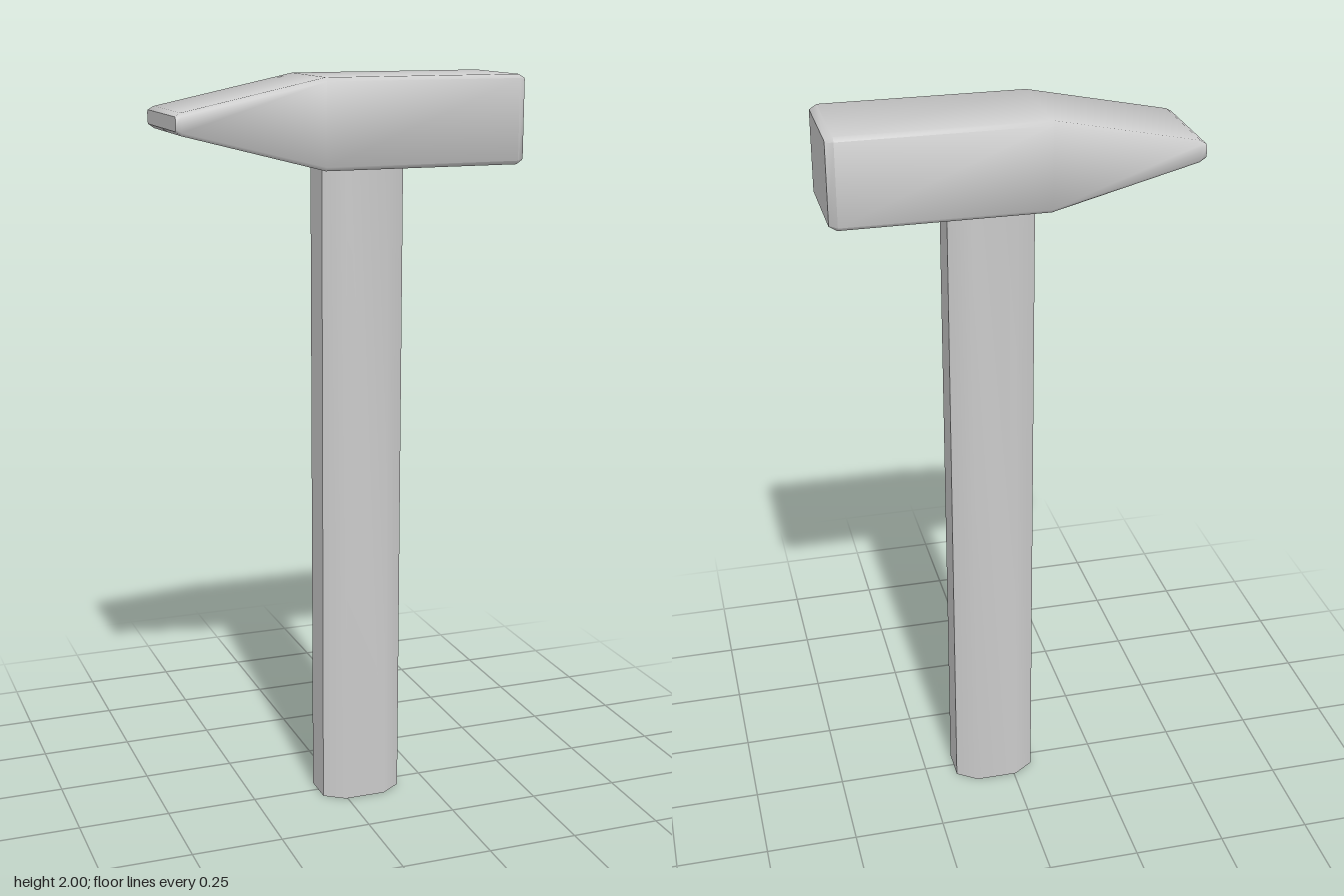
import * as THREE from 'three';
import { toCreasedNormals } from 'three/addons/utils/BufferGeometryUtils.js';

const material = new THREE.MeshStandardMaterial({ color: 0xcccccc });

// Chamfered rectangle across the x axis, counter-clockwise seen from +x
function section([x, low, high, w, c]) {
  return [
    [high, -w + c], [high, w - c], [high - c, w], [low + c, w],
    [low, w - c], [low, -w + c], [low + c, -w], [high - c, -w],
  ].map(([y, z]) => [x, y, z]);
}

// Skin a row of sections running towards +x and cap both ends
function loft(sections) {
  const rings = sections.map(section);
  const n = rings[0].length;
  const index = [];
  for (let i = 0; i < rings.length - 1; i++) {
    for (let j = 0; j < n; j++) {
      const a = i * n + j, b = i * n + (j + 1) % n;
      index.push(a, b, a + n, b, b + n, a + n);
    }
  }
  const last = (rings.length - 1) * n;
  for (let j = 1; j < n - 1; j++) {
    index.push(0, j + 1, j);
    index.push(last, last + j, last + j + 1);
  }
  const geometry = new THREE.BufferGeometry();
  geometry.setAttribute('position', new THREE.Float32BufferAttribute(rings.flat(2), 3));
  geometry.setIndex(index);
  return geometry;
}

function addPart(group, name, geometry, creaseDegrees) {
  const mesh = new THREE.Mesh(
    toCreasedNormals(geometry, THREE.MathUtils.degToRad(creaseDegrees)), material);
  mesh.name = name;
  group.add(mesh);
}

export function createModel() {
  const group = new THREE.Group();
  group.name = 'hammer';

  // Head: wedge-shaped peen at -x, square striking face at +x
  // each row: x, bottom, top, half width, chamfer
  addPart(group, 'head', loft([
    [-0.47, 1.877, 1.913, 0.142, 0.006],
    [-0.455, 1.866, 1.922, 0.142, 0.008],
    [-0.08, 1.768, 2.0, 0.142, 0.01],
    [0.45, 1.768, 2.0, 0.142, 0.01],
    [0.47, 1.778, 1.99, 0.128, 0.004],
  ]), 50);

  // Handle: stretched octagon with softly shaded broad sides
  const outline = [
    [0.165, -0.045], [0.165, 0.045], [0.11, 0.083], [-0.005, 0.083],
    [-0.06, 0.045], [-0.06, -0.045], [-0.005, -0.083], [0.11, -0.083],
  ].map(([x, y]) => new THREE.Vector2(x, y));
  const handle = new THREE.ExtrudeGeometry(new THREE.Shape(outline), {
    depth: 1.8, bevelEnabled: false,
  });
  handle.rotateX(-Math.PI / 2);
  addPart(group, 'handle', handle, 42);

  return group;
}
